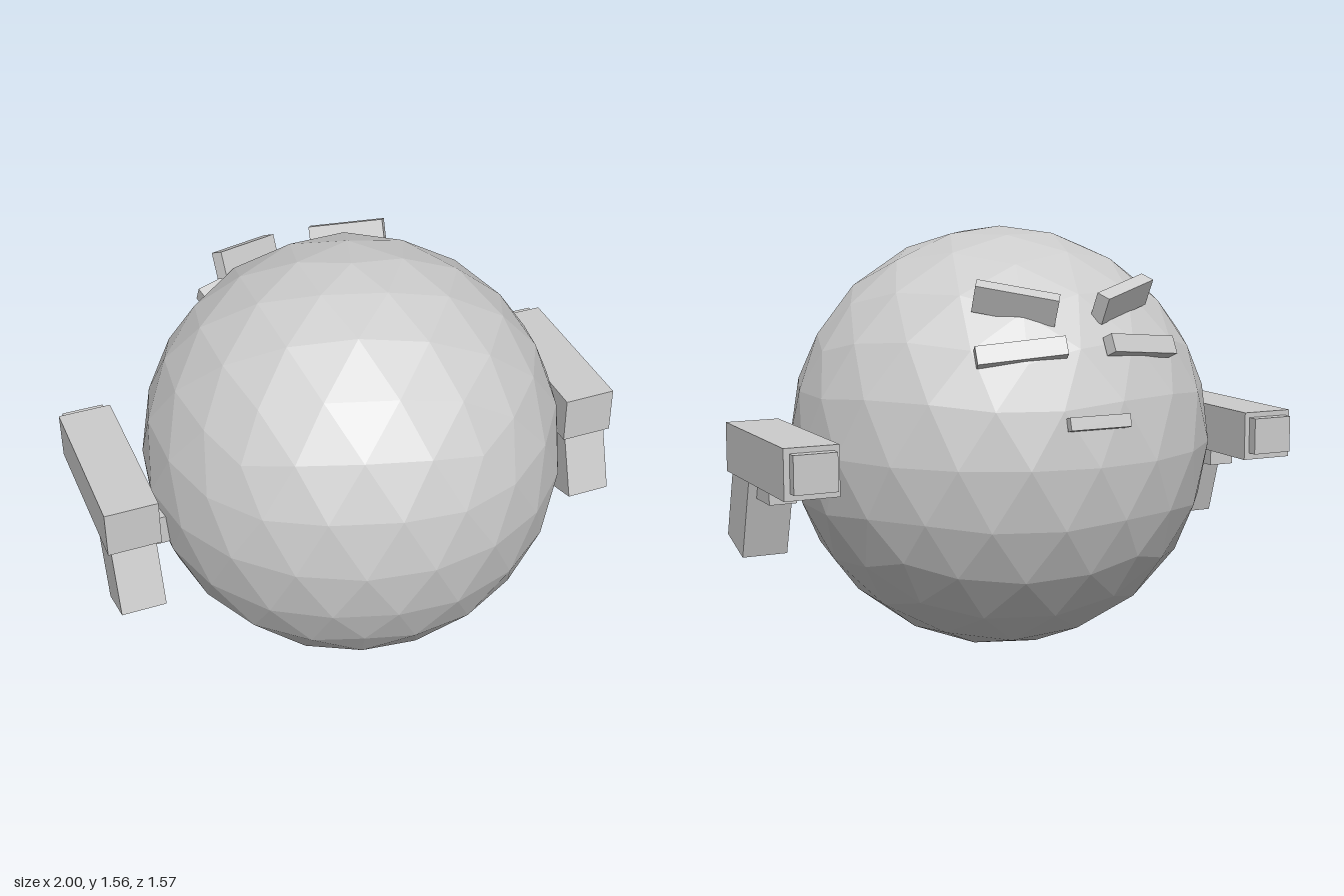
import * as THREE from 'three';

export function createModel() {
  const model = new THREE.Group();
  model.name = 'roundRobot';
  const grey = new THREE.MeshStandardMaterial({ color: 0xcccccc, flatShading: true });
  grey.name = 'plain grey';

  // Adds a box; with side = -1 a mirrored copy is placed at -x.
  // right and up are the directions of the box's own x and y edges.
  function block(parent, name, size, pos, side = 1, right = [1, 0, 0], up = [0, 1, 0]) {
    const mesh = new THREE.Mesh(new THREE.BoxGeometry(...size), grey);
    mesh.name = name;
    const u = new THREE.Vector3(right[0], side * right[1], side * right[2]).normalize();
    const v = new THREE.Vector3(side * up[0], up[1], up[2]);
    v.addScaledVector(u, -v.dot(u)).normalize();
    const w = new THREE.Vector3().crossVectors(u, v);
    mesh.quaternion.setFromRotationMatrix(new THREE.Matrix4().makeBasis(u, v, w));
    mesh.position.set(side * pos[0], pos[1], pos[2]);
    parent.add(mesh);
  }

  // Faceted ball body, turned so that one corner points straight up
  const ball = new THREE.IcosahedronGeometry(0.78, 3);
  ball.rotateZ(-Math.atan(2 / (1 + Math.sqrt(5))));
  const body = new THREE.Mesh(ball, grey);
  body.name = 'body';
  body.position.y = 0.786;
  model.add(body);

  // Face on the back side: mouth, then mirrored eyes and slanted brows
  const face = new THREE.Group();
  face.name = 'face';
  model.add(face);
  block(face, 'mouth', [0.23, 0.045, 0.027], [0, 0.939, -0.766], 1, [1, 0, 0], [0, 0.96, 0.28]);

  for (const side of [1, -1]) {
    const label = side > 0 ? 'left' : 'right';
    block(face, label + 'Eye', [0.309, 0.066, 0.043], [0.23, 1.174, -0.64], side,
      [0.957, -0.097, 0.276], [-0.035, 0.897, 0.44]);
    block(face, label + 'Brow', [0.286, 0.1, 0.05], [0.206, 1.33, -0.55], side,
      [0.873, 0.175, 0.454], [0, 0.886, -0.463]);

    // Blaster at the side, pointing to -z
    const blaster = new THREE.Group();
    blaster.name = label + 'Blaster';
    model.add(blaster);
    block(blaster, 'barrel', [0.197, 0.178, 0.63], [0.9015, 0.787, -0.127], side);
    block(blaster, 'muzzle', [0.156, 0.134, 0.08], [0.901, 0.79, -0.44], side);
    block(blaster, 'grip', [0.167, 0.36, 0.18], [0.902, 0.599, 0.104], side,
      [1, 0, 0], [0, 0.955, -0.296]);
    block(blaster, 'trigger', [0.1, 0.062, 0.17], [0.9015, 0.657, -0.055], side);
    block(blaster, 'mount', [0.16, 0.118, 0.15], [0.76, 0.676, 0.026], side);
  }
  return model;
}
